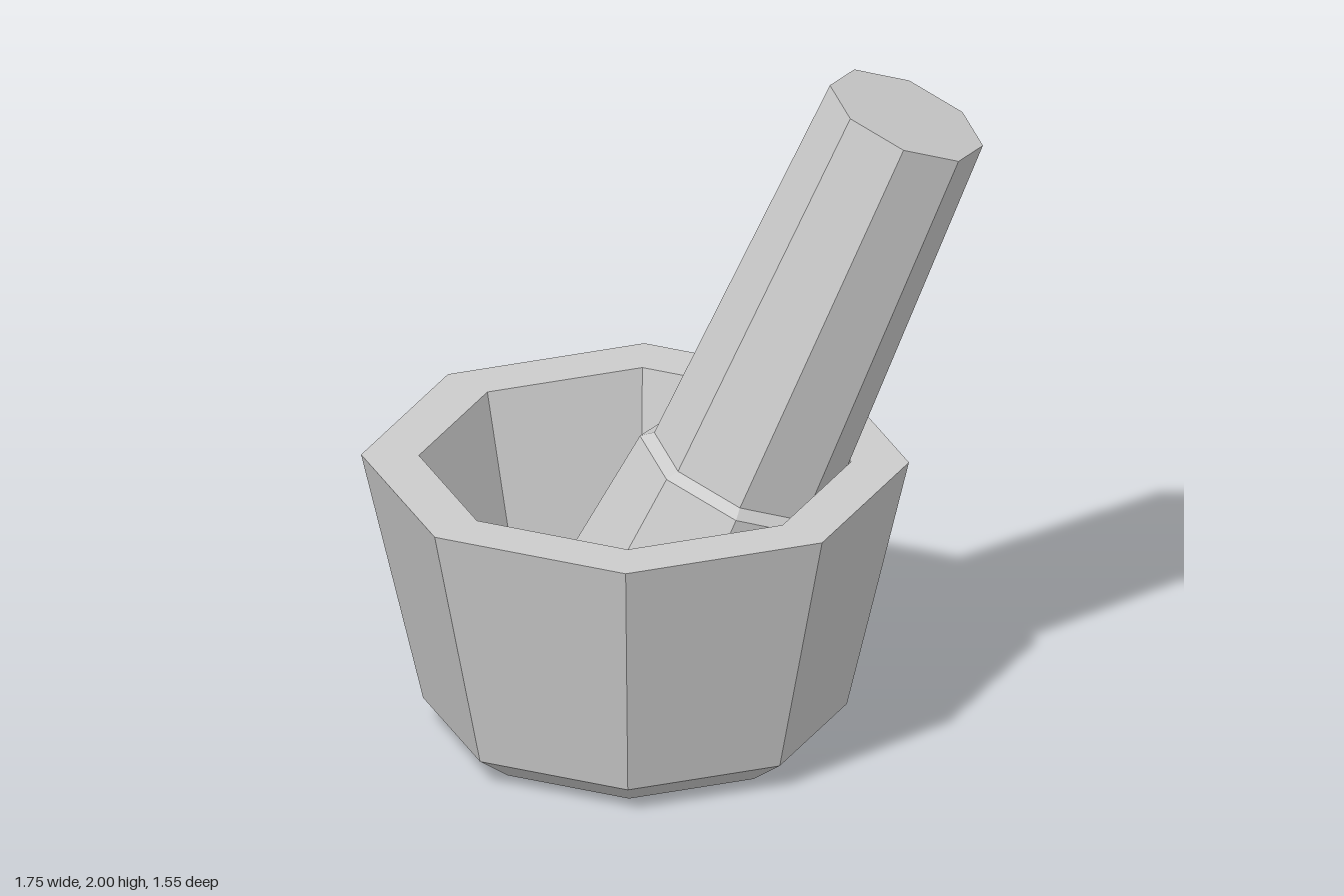
import * as THREE from 'three';

const SIDES = 8;
const TILT = -0.396;

// Faceted solid of revolution from [radius, height] pairs, listed bottom to top on the outside
function facetedLathe(name, profile) {
  const points = profile.map(([r, y]) => new THREE.Vector2(r, y));
  const material = new THREE.MeshStandardMaterial({ color: 0xcccccc, flatShading: true });
  const mesh = new THREE.Mesh(new THREE.LatheGeometry(points, SIDES), material);
  mesh.name = name;
  return mesh;
}

export function createModel() {
  const model = new THREE.Group();
  model.name = 'mortarAndPestle';

  // Bowl: chamfered foot, flaring wall, flat rim and hollow interior
  const bowl = facetedLathe('mortarBowl', [
    [0, 0], [0.49, 0], [0.598, 0.077], [0.773, 0.83],
    [0.61, 0.83], [0.465, 0.16], [0, 0.16],
  ]);
  bowl.position.x = -0.107;
  model.add(bowl);

  // Pestle: wide grinding head, sloped shoulder and tapering handle, leaning to the model's left
  const pestle = facetedLathe('pestle', [
    [0, 0], [0.363, 0], [0.305, 0.54], [0.272, 0.566], [0.234, 1.76], [0, 1.76],
  ]);
  pestle.position.set(-0.02, 0.285, 0);
  pestle.rotation.z = TILT;
  model.add(pestle);

  return model;
}
